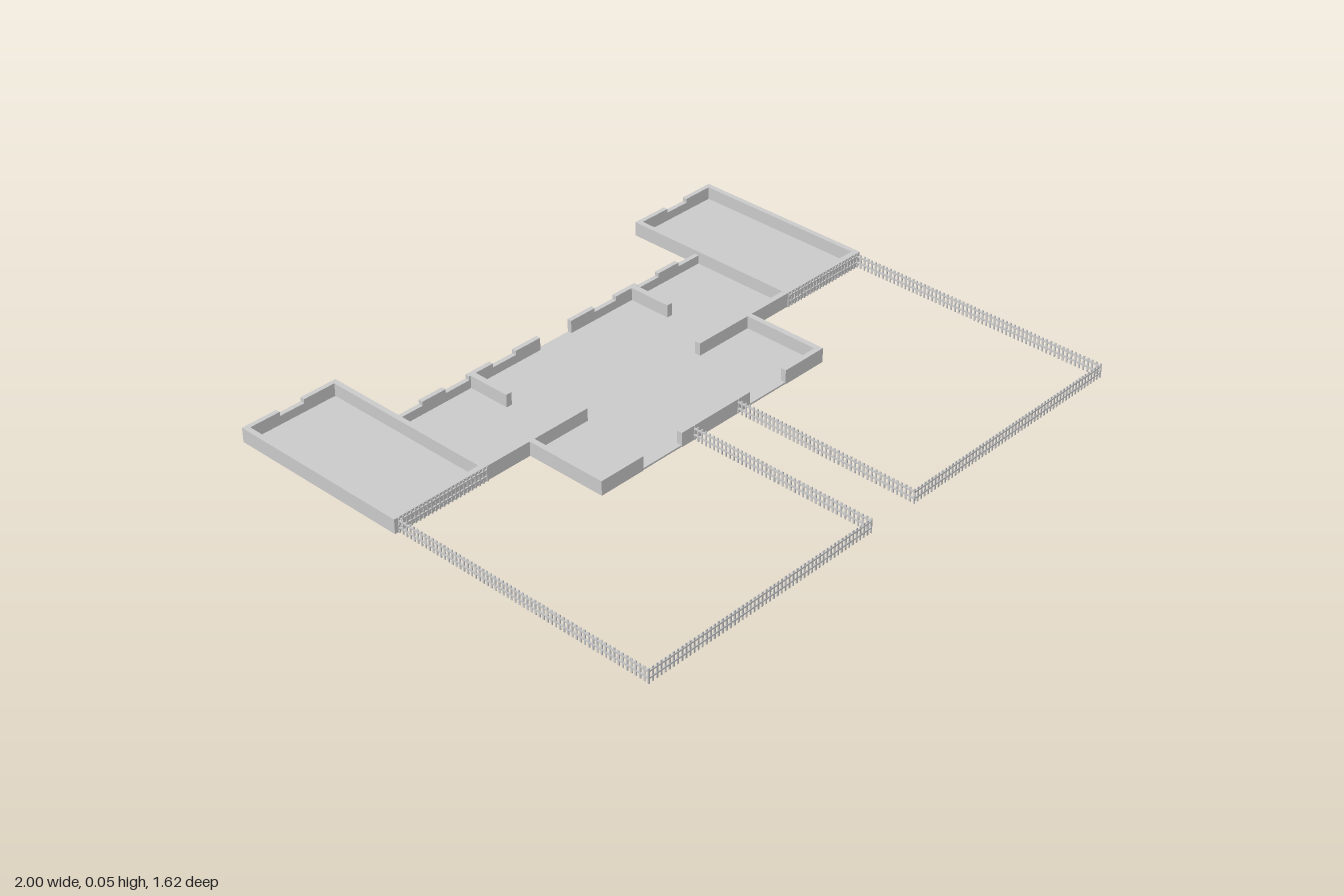
import * as THREE from 'three';

const H = 0.05, FLOOR = 0.006, SILL = 0.036;

export function createModel() {
  const model = new THREE.Group();
  model.name = 'floorPlan';
  const material = new THREE.MeshStandardMaterial({ color: 0xcccccc, flatShading: true });

  // Box given by its x and z limits, from y0 to y1
  const box = (parent, name, x0, x1, z0, z1, y1 = H, y0 = 0) => {
    const mesh = new THREE.Mesh(new THREE.BoxGeometry(Math.abs(x1 - x0), y1 - y0, z1 - z0), material);
    mesh.position.set((x0 + x1) / 2, (y0 + y1) / 2, (z0 + z1) / 2);
    mesh.name = name;
    parent.add(mesh);
  };

  // Floor slab following the outline of the building
  const half = [[0.477, 0.138], [0.477, -0.152], [0.998, -0.152], [0.998, -0.808], [0.647, -0.808], [0.647, -0.543]];
  const outline = [...half, ...half.map(([x, z]) => [-x, z]).reverse()];
  const shape = new THREE.Shape(outline.map(([x, z]) => new THREE.Vector2(x, -z)));
  const slab = new THREE.ExtrudeGeometry(shape, { depth: FLOOR, bevelEnabled: false });
  slab.rotateX(-Math.PI / 2);
  const floor = new THREE.Mesh(slab, material);
  floor.name = 'floor';
  model.add(floor);

  // Straight run of fence: evenly spaced pickets and two rails
  const fenceRun = (parent, ax, az, bx, bz) => {
    const run = new THREE.Group();
    run.name = 'fenceRun';
    const length = Math.hypot(bx - ax, bz - az);
    const count = Math.round(length / 0.0155);
    const pickets = new THREE.InstancedMesh(new THREE.BoxGeometry(0.0055, H, 0.003), material, count + 1);
    pickets.name = 'pickets';
    const m = new THREE.Matrix4();
    for (let i = 0; i <= count; i++) {
      pickets.setMatrixAt(i, m.makeTranslation((i / count - 0.5) * length, H / 2, 0));
    }
    run.add(pickets);
    for (const y of [0.018, 0.04]) box(run, 'rail', -length / 2, length / 2, -0.0025, 0.0025, y + 0.0025, y - 0.0025);
    run.position.set((ax + bx) / 2, 0, (az + bz) / 2);
    run.rotation.y = -Math.atan2(bz - az, bx - ax);
    parent.add(run);
  };

  // Both halves share the same layout, mirrored in x
  for (const s of [1, -1]) {
    const side = new THREE.Group();
    side.name = s > 0 ? 'leftHalf' : 'rightHalf';
    model.add(side);
    const wall = (name, x0, x1, z0, z1, y1) => box(side, name, s * x0, s * x1, z0, z1, y1);

    // Wing room, with one window opening in its back wall
    wall('wingOuterWall', 0.982, 1, -0.81, -0.15);
    wall('wingInnerWall', 0.645, 0.663, -0.81, -0.15);
    wall('wingBackWall', 0.663, 0.78, -0.81, -0.794);
    wall('wingWindowSill', 0.78, 0.872, -0.81, -0.794, SILL);
    wall('wingBackWall', 0.872, 0.982, -0.81, -0.794);
    wall('wingFrontWall', 0.663, 0.982, -0.17, -0.15);

    // Main hall back wall: piers alternating with low sills
    const steps = [0.067, 0.17, 0.265, 0.363, 0.458, 0.551, 0.645];
    for (let i = 0; i < 6; i++) {
      const low = i % 2 === 1;
      wall(low ? 'windowSill' : 'backWallPier', steps[i], steps[i + 1], -0.545, -0.529, low ? SILL : H);
    }
    wall('partition', 0.336, 0.357, -0.53, -0.375);
    wall('hallFrontWall', 0.243, 0.645, -0.17, -0.15);

    // Front room
    wall('frontRoomSideWall', 0.46, 0.479, -0.15, 0.14);
    wall('frontRoomWall', 0.308, 0.46, 0.121, 0.14);

    // Picket fence around the yard
    const fence = new THREE.Group();
    fence.name = 'yardFence';
    side.add(fence);
    const pts = [[0.65, -0.147], [0.985, -0.147], [0.985, 0.807], [0.095, 0.807], [0.095, 0.14]];
    for (let i = 0; i < pts.length - 1; i++) {
      fenceRun(fence, s * pts[i][0], pts[i][1], s * pts[i + 1][0], pts[i + 1][1]);
    }
  }
  box(model, 'frontCentreWall', -0.148, 0.148, 0.121, 0.14);

  return model;
}
